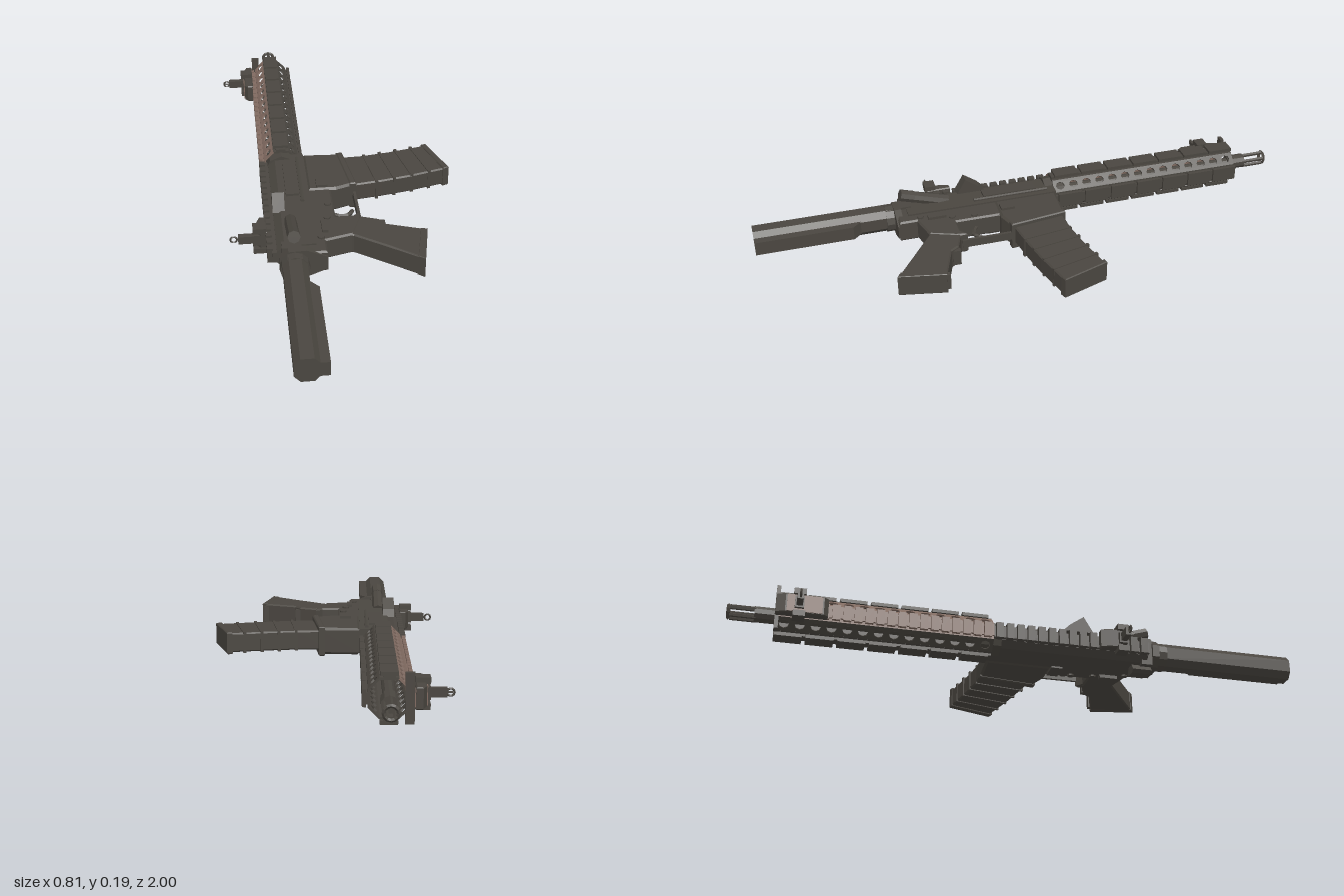
import * as THREE from 'three';

const makeMat = (name, color) => {
  const m = new THREE.MeshStandardMaterial({ color, flatShading: true });
  m.name = name;
  return m;
};

const CX = -0.2, CY = 0.08; // bore axis, running along z

export function createModel() {
  const root = new THREE.Group();
  root.name = 'model';
  const body = makeMat('dark grey', 0x4a4640);
  const brown = makeMat('warm brown', 0x806a60);

  const add = (name, geo, mat = body, parent = root) => {
    const m = new THREE.Mesh(geo, mat);
    m.name = name;
    parent.add(m);
    return m;
  };
  // box from min and max corners
  const box = (name, x0, x1, y0, y1, z0, z1, mat, parent) => {
    const g = new THREE.BoxGeometry(x1 - x0, y1 - y0, z1 - z0);
    g.translate((x0 + x1) / 2, (y0 + y1) / 2, (z0 + z1) / 2);
    return add(name, g, mat, parent);
  };
  const toShape = (pts) => new THREE.Shape(pts.map((p) => new THREE.Vector2(...p)));
  // outline in x,z with thickness from y0 to y1; bevel trims the edges
  const plate = (name, pts, y0, y1, bevel = 0) => {
    const g = new THREE.ExtrudeGeometry(toShape(pts), {
      depth: y1 - y0 - 2 * bevel, bevelEnabled: bevel > 0, bevelThickness: bevel,
      bevelSize: bevel, bevelOffset: -bevel, bevelSegments: 1,
    });
    g.rotateX(Math.PI / 2).translate(0, y1 - bevel, 0);
    return add(name, g);
  };
  // outline in x,y running from z0 to z1
  const prism = (name, pts, z0, z1) => {
    const g = new THREE.ExtrudeGeometry(toShape(pts), { depth: z1 - z0, bevelEnabled: false });
    return add(name, g.translate(0, 0, z0));
  };
  // cylinder between two points
  const rod = (name, a, b, r0, r1 = r0, sides = 8) => {
    const va = new THREE.Vector3(...a), vb = new THREE.Vector3(...b);
    const d = vb.clone().sub(va);
    const m = add(name, new THREE.CylinderGeometry(r1, r0, d.length(), sides));
    m.position.copy(va).add(vb).multiplyScalar(0.5);
    m.quaternion.setFromUnitVectors(new THREE.Vector3(0, 1, 0), d.normalize());
    return m;
  };

  // barrel and slotted muzzle
  rod('barrel', [CX, CY, -0.1], [CX, CY, -0.9], 0.021, 0.019, 10);
  rod('muzzleCollar', [CX, CY, -0.84], [CX, CY, -0.91], 0.027, 0.027, 10);
  for (let i = 0; i < 5; i++) {
    const a = (i / 5) * Math.PI * 2 + 0.3;
    const x = CX + Math.cos(a) * 0.021, y = CY + Math.sin(a) * 0.021;
    rod('muzzleProng', [x, y, -0.905], [x, y, -0.99], 0.007, 0.007, 5);
  }
  const ring = add('muzzleRing', new THREE.TorusGeometry(0.0215, 0.006, 4, 12));
  ring.position.set(CX, CY, -0.994);

  // handguard: four railed sides and four perforated corner panels
  const Z0 = -0.843, Z1 = -0.11;
  for (let k = 0; k < 4; k++) {
    const side = new THREE.Group();
    side.name = 'handguardSide';
    side.position.set(CX, CY, 0);
    side.rotation.z = (k * Math.PI) / 2;
    root.add(side);
    const top = k === 2; // finely toothed sighting rail
    const mat = top ? brown : body;
    box('sidePlate', 0.056, 0.063, -0.029, 0.029, Z0, Z1, mat, side);
    box('railBase', 0.06, 0.071, -0.018, 0.018, Z0, Z1, mat, side);
    const n = top ? 20 : 7;
    const step = (Z1 - Z0) / n;
    for (let i = 0; i < n; i++) {
      const z = Z0 + i * step;
      box('railTooth', 0.068, 0.08, -0.027, 0.027, z, z + step * (top ? 0.72 : 0.88), mat, side);
    }
    // panel outline drawn along -z, then turned to face the diagonal
    const s = toShape([[-Z1, -0.024], [-Z0, -0.024], [-Z0, 0.024], [-Z1, 0.024]]);
    for (let i = 0; i < 14; i++) {
      const h = new THREE.Path();
      h.absellipse(-Z0 - 0.03 - i * 0.052, 0, 0.017, 0.015, 0, Math.PI * 2, true);
      s.holes.push(h);
    }
    const g = new THREE.ExtrudeGeometry(s, { depth: 0.006, bevelEnabled: false, curveSegments: 4 });
    g.rotateY(Math.PI / 2).translate(0.059, 0, 0).rotateZ(Math.PI / 4);
    add('handguardPanel', g, k === 1 ? brown : body, side);
  }
  // collar joining handguard and receiver, and end plate near the muzzle
  rod('handguardCollar', [CX, CY, -0.15], [CX, CY, -0.08], 0.06, 0.06, 8);
  box('handguardEndPlate', -0.275, -0.247, 0.002, 0.158, -0.845, -0.832);

  // upper receiver with top rail
  prism('upperReceiver', [[-0.25, 0.058], [-0.225, 0.038], [-0.12, 0.036], [-0.12, 0.128],
    [-0.225, 0.124], [-0.25, 0.104]], -0.11, 0.45);
  box('topRailBase', -0.266, -0.245, 0.06, 0.1, -0.11, 0.45);
  for (let i = 0; i < 15; i++) {
    const z = -0.105 + i * 0.037;
    box('topRailTooth', -0.282, -0.262, 0.052, 0.108, z, z + 0.025);
  }
  box('portCover', -0.2, -0.155, 0.12, 0.134, -0.04, 0.16);
  rod('portHinge', [-0.145, 0.129, -0.08], [-0.145, 0.129, 0.2], 0.007, 0.007, 6);
  // wedge behind the port
  const wedge = new THREE.ExtrudeGeometry(toShape([[0.25, 0.12], [0.14, 0.12], [0.165, 0.145], [0.215, 0.18]]),
    { depth: 0.042, bevelEnabled: false });
  wedge.rotateY(-Math.PI / 2).translate(-0.21, 0, 0);
  add('deflector', wedge);
  // sloped plunger with round cap
  rod('plungerHousing', [-0.195, 0.115, 0.29], [-0.195, 0.155, 0.42], 0.022, 0.021);
  rod('plungerCap', [-0.195, 0.154, 0.415], [-0.194, 0.17, 0.465], 0.022, 0.022);
  // rear handle and its latch
  box('rearHandle', -0.235, -0.17, 0.03, 0.13, 0.43, 0.47);
  prism('handleLatch', [[-0.225, 0.013], [-0.212, 0.003], [-0.178, 0.003], [-0.165, 0.013],
    [-0.18, 0.035], [-0.21, 0.035]], 0.4, 0.47);

  // lower receiver, well and guard
  plate('lowerReceiver', [[-0.13, -0.1], [-0.04, -0.1], [-0.04, 0.29], [0.02, 0.29], [0.045, 0.27],
    [0.045, 0.31], [0.01, 0.4], [-0.085, 0.425], [-0.085, 0.49], [-0.19, 0.49], [-0.19, 0.42], [-0.13, 0.4]],
  0.042, 0.122, 0.006);
  plate('magazineWell', [[-0.12, -0.105], [0.02, -0.098], [0.05, 0.105], [-0.02, 0.13], [-0.12, 0.13]],
    0.032, 0.128, 0.008);
  plate('wellLip', [[0.002, -0.1], [0.025, -0.1], [0.054, 0.11], [0.03, 0.112]], 0.026, 0.132, 0.004);
  box('triggerGuard', 0.041, 0.051, 0.066, 0.096, 0.1, 0.29);
  const tc = new THREE.QuadraticBezierCurve3(new THREE.Vector3(-0.05, CY, 0.215),
    new THREE.Vector3(0.005, CY, 0.26), new THREE.Vector3(0.028, CY, 0.208));
  add('trigger', new THREE.TubeGeometry(tc, 6, 0.008, 5));

  // controls and pins
  box('magazineRelease', -0.09, -0.05, 0.12, 0.137, 0.07, 0.12);
  box('boltCatch', -0.13, -0.06, 0.03, 0.045, 0.13, 0.17);
  for (const [x, z] of [[-0.1, -0.06], [-0.1, 0.41], [-0.06, 0.22], [-0.07, 0.3]]) {
    rod('pin', [x, 0.036, z], [x, 0.128, z], 0.012);
  }
  for (const y of [0.034, 0.126]) box('selector', -0.094, -0.074, y - 0.006, y + 0.006, 0.32, 0.385);

  // curved magazine with ribs and base
  plate('magazine', [[0.0, -0.09], [0.1, -0.094], [0.2, -0.11], [0.335, -0.14],
    [0.385, 0.026], [0.25, 0.062], [0.15, 0.082], [0.03, 0.1]], 0.047, 0.116, 0.005);
  plate('magazineBase', [[0.327, -0.142], [0.347, -0.146], [0.404, 0.022], [0.382, 0.03]], 0.041, 0.12, 0.003);
  for (let i = 0; i < 4; i++) {
    const x = 0.1 + i * 0.06, zf = -0.094 - i * 0.0125, dx = 0.026 + i * 0.006;
    const zb = 0.09 - i * 0.0155;
    plate('magazineRib', [[x, zf], [x + 0.01, zf - 0.002], [x + dx + 0.01, zb - 0.002], [x + dx, zb]], 0.044, 0.119);
  }

  // grip
  plate('grip', [[0.0, 0.29], [0.045, 0.295], [0.108, 0.318], [0.128, 0.348], [0.254, 0.392], [0.225, 0.555],
    [0.12, 0.48], [0.01, 0.403], [-0.05, 0.39]], 0.043, 0.119, 0.005);
  plate('gripBase', [[0.238, 0.388], [0.261, 0.394], [0.227, 0.558], [0.204, 0.542]], 0.042, 0.12, 0.002);
  for (const [x, z] of [[0.108, 0.322], [0.236, 0.388]]) {
    box('gripRidge', x, x + 0.018, 0.052, 0.11, z - 0.008, z + 0.02);
  }

  // rear plate, tube and under-rib
  prism('endPlate', [[-0.245, 0.06], [-0.215, 0.03], [-0.155, 0.028], [-0.085, 0.056], [-0.085, 0.104],
    [-0.155, 0.134], [-0.215, 0.132], [-0.245, 0.104]], 0.47, 0.495);
  rod('castleNut', [-0.195, CY, 0.49], [-0.195, CY, 0.525], 0.05, 0.05, 12);
  prism('rearTube', [[-0.237, 0.06], [-0.217, 0.038], [-0.175, 0.038], [-0.155, 0.06], [-0.155, 0.104],
    [-0.175, 0.125], [-0.217, 0.125], [-0.237, 0.104]], 0.5, 1.0);
  plate('tubeRib', [[-0.18, 0.62], [-0.155, 0.62], [-0.128, 0.65], [-0.128, 1.0], [-0.18, 1.0]], 0.056, 0.107);

  // folding sights
  const sight = (prefix, z0, z1, zp, tip) => {
    plate(prefix + 'Base', [[-0.278, z0], [-0.3, z0], [-0.312, z0 + 0.03], [-0.312, z1 - 0.015], [-0.3, z1],
      [-0.278, z1]], 0.045, 0.115, 0.004);
    box(prefix + 'Pivot', -0.325, -0.28, 0.06, 0.1, zp - 0.015, zp + 0.015);
    for (const y of [0.04, 0.12]) box(prefix + 'Clamp', -0.325, -0.28, y - 0.01, y + 0.01, zp - 0.02, zp + 0.02);
    box(prefix + 'Stem', -0.375, -0.32, 0.066, 0.095, zp - 0.01, zp + 0.01);
    const r = add(prefix + 'Ring', new THREE.TorusGeometry(0.0115, 0.0035, 4, 10));
    r.position.set(tip + 0.015, CY, zp);
  };
  sight('rearSight', 0.26, 0.35, 0.335, -0.405);
  sight('frontSight', -0.845, -0.675, -0.77, -0.4);
  box('frontSightCover', -0.315, -0.311, 0.05, 0.11, -0.81, -0.695, brown);
  rod('frontSightPost', [-0.37, CY, -0.77], [-0.392, CY, -0.77], 0.004, 0.003, 5);

  return root;
}
